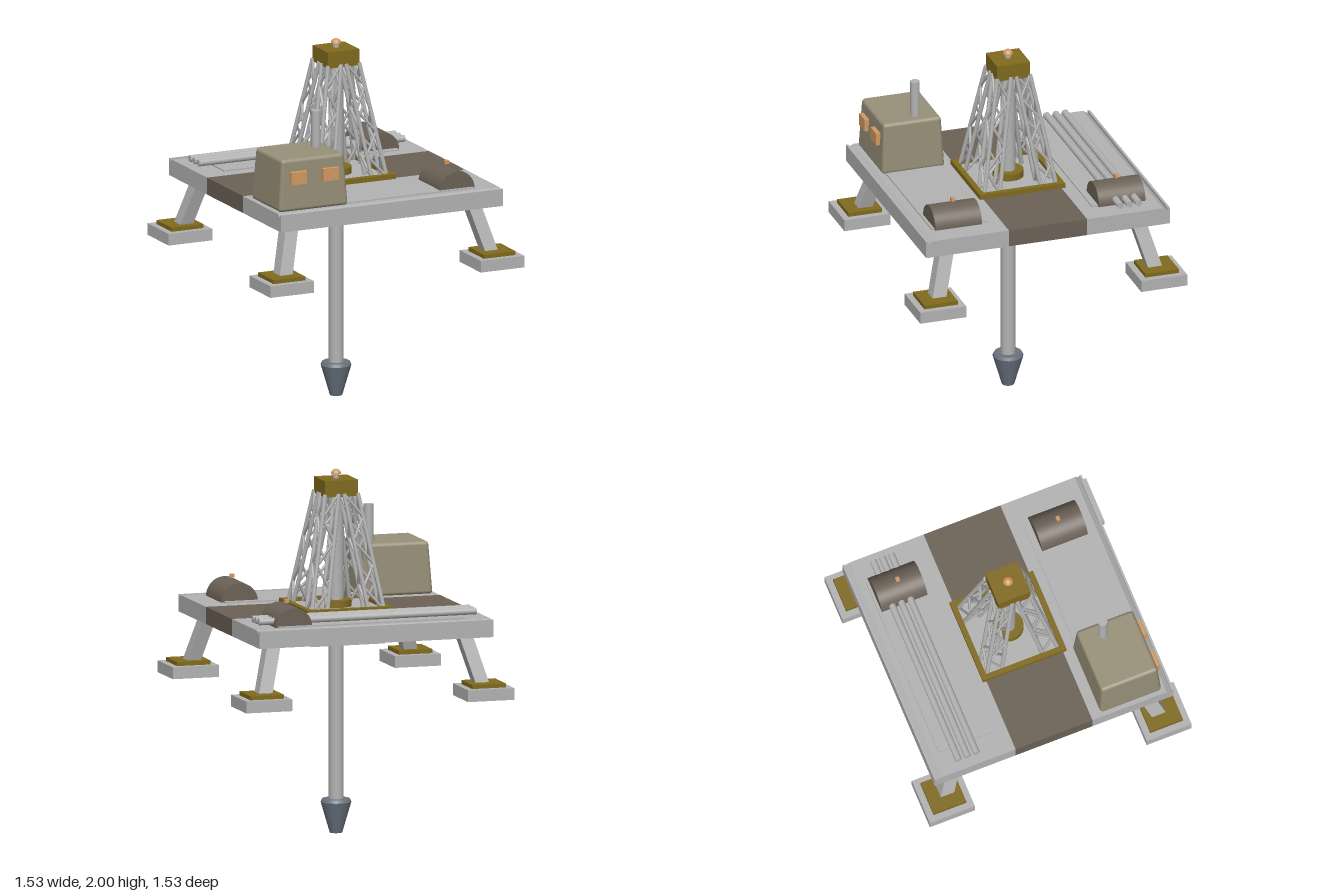
import * as THREE from 'three';
import { RoundedBoxGeometry } from 'three/addons/geometries/RoundedBoxGeometry.js';

const mat = (name, color) => {
  const m = new THREE.MeshStandardMaterial({ color });
  m.name = name;
  return m;
};

export function createModel() {
  const steel = mat('steel grey', 0xb2b2b2);
  const ochre = mat('ochre', 0x806a1e);
  const brown = mat('dark brown', 0x6b6156);
  const khaki = mat('khaki', 0x989079);
  const amber = mat('amber', 0xd29a62);
  const slate = mat('slate', 0x69747f);

  const model = new THREE.Group();
  model.name = 'drillingRig';

  const add = (name, geo, material, parent = model) => {
    const mesh = new THREE.Mesh(geo, material);
    mesh.name = name;
    parent.add(mesh);
    return mesh;
  };
  // Box given by its min and max on each axis
  const box = (name, material, x0, x1, y0, y1, z0, z1, parent) => {
    const geo = new THREE.BoxGeometry(x1 - x0, y1 - y0, z1 - z0);
    geo.translate((x0 + x1) / 2, (y0 + y1) / 2, (z0 + z1) / 2);
    return add(name, geo, material, parent);
  };
  // Upright cylinder
  const post = (name, material, r, y0, y1, x = 0, z = 0, sides = 24) => {
    const geo = new THREE.CylinderGeometry(r, r, y1 - y0, sides);
    geo.translate(x, (y0 + y1) / 2, z);
    return add(name, geo, material);
  };
  // Round bar between two points
  const bar = (name, material, a, b, r, sides, parent) => {
    const mesh = add(name, new THREE.CylinderGeometry(r, r, a.distanceTo(b), sides), material, parent);
    mesh.position.addVectors(a, b).multiplyScalar(0.5);
    mesh.quaternion.setFromUnitVectors(new THREE.Vector3(0, 1, 0), b.clone().sub(a).normalize());
    return mesh;
  };

  // Deck: brown middle strip and two grey sides with a shallow gutter
  box('deckMiddle', brown, -0.67, 0.67, 1.145, 1.24, -0.225, 0.225);
  const profile = new THREE.Shape([
    [0.225, 1.145], [0.7, 1.145], [0.7, 1.24], [0.687, 1.24],
    [0.687, 1.222], [0.66, 1.24], [0.225, 1.24],
  ].map(([z, y]) => new THREE.Vector2(z, y)));
  for (const side of [1, -1]) {
    const geo = new THREE.ExtrudeGeometry(profile, { depth: 1.34, bevelEnabled: false });
    geo.rotateY(-Math.PI / 2).translate(0.67, 0, 0);
    if (side < 0) geo.rotateY(Math.PI);
    add('deckSide', geo, steel);
    const z = side * 0.46;
    box('deckPlate', steel, -0.53, 0.53, 1.24, 1.247, z - 0.16, z + 0.16);

    // Drum sunk halfway into the deck, with a marker lamp
    const drum = new THREE.CylinderGeometry(0.105, 0.105, 0.267, 40);
    drum.rotateX(Math.PI / 2).translate(0.44, 1.237, side * 0.47);
    add('drum', drum, brown);
    box('drumLamp', amber, 0.428, 0.452, 1.354, 1.374, side * 0.47 - 0.01, side * 0.47 + 0.01);
  }
  box('underBlock', steel, -0.21, 0.21, 1.06, 1.15, -0.21, 0.21);

  // Splayed legs on square feet
  for (const sx of [1, -1]) for (const sz of [1, -1]) {
    const leg = new THREE.Group();
    leg.name = 'supportLeg';
    model.add(leg);
    const geo = new THREE.BoxGeometry(0.077, 0.28, 0.08);
    const p = geo.attributes.position;
    for (let i = 0; i < p.count; i++) {
      const c = p.getY(i) > 0 ? 0.546 : 0.624;
      p.setXYZ(i, p.getX(i) + sx * c, p.getY(i) + 1.015, p.getZ(i) + sz * c);
    }
    geo.computeVertexNormals();
    add('strut', geo, steel, leg);
    const square = (name, m, half, y0, y1) => box(name, m, sx * 0.635 - half, sx * 0.635 + half,
      y0, y1, sz * 0.635 - half, sz * 0.635 + half, leg);
    square('footPlate', ochre, 0.096, 0.865, 0.892);
    square('footPad', steel, 0.132, 0.805, 0.87);
  }

  // Cabin, narrowing towards the top
  const cabin = new RoundedBoxGeometry(0.417, 0.29, 0.36, 3, 0.02);
  const cp = cabin.attributes.position;
  for (let i = 0; i < cp.count; i++) {
    const t = (cp.getY(i) + 0.145) / 0.29;
    cp.setX(i, cp.getX(i) * (1 - 0.1 * t));
    cp.setZ(i, cp.getZ(i) * (1 - 0.08 * t));
  }
  cabin.translate(-0.442, 1.383, 0.461);
  add('cabin', cabin, khaki);
  for (const x of [-0.538, -0.346]) box('cabinWindow', amber, x - 0.047, x + 0.047, 1.39, 1.46, 0.63, 0.655);
  post('exhaustStack', steel, 0.026, 1.5, 1.73, -0.326, 0.423);

  // Spare pipes lying on the back of the deck
  for (const z of [-0.54, -0.487, -0.434]) {
    bar('sparePipe', steel, new THREE.Vector3(-0.622, 1.268, z), new THREE.Vector3(0.622, 1.268, z), 0.019, 16);
  }

  // Tower base: ochre frame around a grey floor, collar round the pipe
  box('towerFloor', steel, -0.22, 0.22, 1.24, 1.247, -0.22, 0.22);
  for (const s of [1, -1]) {
    box('baseFrame', ochre, -0.245, 0.245, 1.24, 1.267, s * 0.23 - 0.015, s * 0.23 + 0.015);
    box('baseFrame', ochre, s * 0.23 - 0.015, s * 0.23 + 0.015, 1.24, 1.267, -0.215, 0.215);
  }
  post('pipeCollar', ochre, 0.085, 1.245, 1.285);

  // Lattice tower: four square trusses leaning to the centre
  const panels = 5;
  for (const sx of [1, -1]) for (const sz of [1, -1]) {
    const truss = new THREE.Group();
    truss.name = 'towerTruss';
    model.add(truss);
    const at = (i, j, t) => {
      const inner = THREE.MathUtils.lerp(0.118, 0.015, t);
      const outer = THREE.MathUtils.lerp(0.207, 0.094, t);
      return new THREE.Vector3(sx * (i ? outer : inner), 1.245 + 0.63 * t, sz * (j ? outer : inner));
    };
    const corners = [[0, 0], [1, 0], [1, 1], [0, 1]];
    corners.forEach(([i, j], k) => {
      bar('chord', steel, at(i, j, 0), at(i, j, 1), 0.012, 8, truss);
      const [i2, j2] = corners[(k + 1) % 4];
      for (let n = 0; n < panels; n++) {
        const [t0, t1] = n % 2 ? [(n + 1) / panels, n / panels] : [n / panels, (n + 1) / panels];
        bar('brace', steel, at(i, j, t0), at(i2, j2, t1), 0.008, 6, truss);
      }
    });
  }

  // Tower head and beacon
  box('towerHead', ochre, -0.095, 0.095, 1.86, 1.95, -0.095, 0.095);
  post('beaconBase', steel, 0.016, 1.95, 1.975);
  const dome = new THREE.SphereGeometry(0.028, 20, 10, 0, Math.PI * 2, 0, Math.PI / 2);
  add('beacon', dome.translate(0, 1.972, 0), amber);
  const disc = new THREE.CircleGeometry(0.028, 20).rotateX(Math.PI / 2);
  add('beaconUnderside', disc.translate(0, 1.972, 0), amber);

  // Drill pipe and tapered bit
  post('drillPipe', steel, 0.04, 0.17, 1.87);
  const bit = new THREE.CylinderGeometry(0.084, 0.034, 0.17, 24).translate(0, 0.085, 0);
  add('drillBit', bit, slate);
  const shoulder = new THREE.CylinderGeometry(0.076, 0.084, 0.017, 24).translate(0, 0.1785, 0);
  add('drillBitShoulder', shoulder, slate);

  return model;
}
